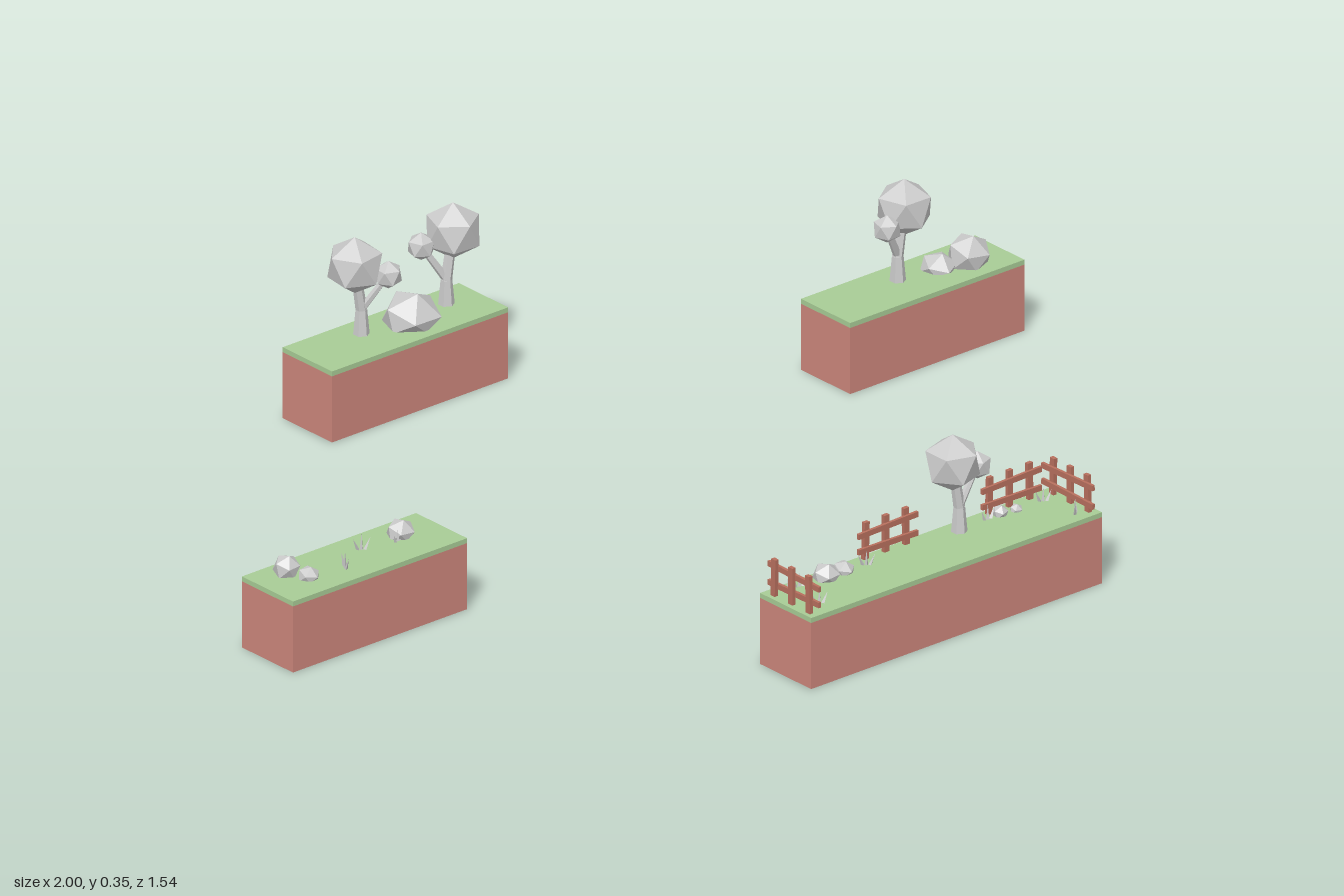
import * as THREE from 'three';

const GROUND = 0.145, TURF = 0.01;
const mat = (color, opts = {}) => new THREE.MeshStandardMaterial({ color, flatShading: true, ...opts });
const grey = mat(0xcccccc);
const bladeGrey = mat(0xcccccc, { side: THREE.DoubleSide });
const soil = mat(0xcd877c, { side: THREE.DoubleSide });
const turf = mat(0xa8cc96);
const wood = mat(0xb8705e);

function add(parent, name, geometry, material, x = 0, y = 0, z = 0) {
  const mesh = new THREE.Mesh(geometry, material);
  mesh.name = name;
  mesh.position.set(x, y, z);
  parent.add(mesh);
  return mesh;
}

function group(parent, name) {
  const g = new THREE.Group();
  g.name = name;
  parent.add(g);
  return g;
}

// Icosahedron standing on one vertex, turned about y
const ball = (r, turn = 0) =>
  new THREE.IcosahedronGeometry(r, 0).rotateZ(-Math.atan(2 / (1 + Math.sqrt(5)))).rotateY(turn);

// Tapered limb between two points
function limb(parent, name, a, b, r0, r1) {
  const dir = b.clone().sub(a);
  const m = add(parent, name, new THREE.CylinderGeometry(r1, r0, dir.length(), 6), grey);
  m.position.copy(a).addScaledVector(dir, 0.5);
  m.quaternion.setFromUnitVectors(new THREE.Vector3(0, 1, 0), dir.normalize());
}

// Planter shell: open at the back and underneath, with a turf slab on top
function planter(parent, x0, x1, z0, z1) {
  const g = group(parent, 'planter');
  const w = x1 - x0, d = z1 - z0, h = GROUND - TURF, cx = (x0 + x1) / 2, cz = (z0 + z1) / 2;
  add(g, 'frontWall', new THREE.PlaneGeometry(w, h), soil, cx, h / 2, z1);
  for (const [name, x, s] of [['rightWall', x0, -1], ['leftWall', x1, 1]])
    add(g, name, new THREE.PlaneGeometry(d, h).rotateY(s * Math.PI / 2), soil, x, h / 2, cz);
  add(g, 'turf', new THREE.BoxGeometry(w, TURF, d), turf, cx, GROUND - TURF / 2, cz);
  return g;
}

// Tree with a large crown and a smaller one on a side branch
function tree(parent, x, z, sideX, sideZ, turn) {
  const g = group(parent, 'tree');
  const lean = Math.sign(sideX - x) * 0.016;
  const base = new THREE.Vector3(x + lean, GROUND - 0.004, z);
  const fork = new THREE.Vector3(x + lean, 0.195, z);
  const top = new THREE.Vector3(x, 0.29, z);
  const side = new THREE.Vector3(sideX, 0.267, sideZ);
  limb(g, 'trunk', base, fork, 0.016, 0.011);
  limb(g, 'upperTrunk', fork, top, 0.011, 0.009);
  limb(g, 'branch', fork, side, 0.008, 0.006);
  add(g, 'crown', ball(0.057, turn), grey, x, 0.29, z);
  add(g, 'smallCrown', ball(0.028, turn + 0.7), grey, sideX, 0.267, sideZ);
}

// Boulder flattened where it meets the ground
function rock(parent, x, z, r, h, turn = 0) {
  const geo = ball(r, turn).rotateX(0.3);
  const p = geo.attributes.position;
  for (let i = 0; i < p.count; i++) p.setY(i, Math.max(p.getY(i) + h - r, -0.004));
  geo.computeVertexNormals();
  add(parent, 'rock', geo, grey, x, GROUND, z);
}

// Tuft of three flat blades fanning out along one direction
function tuft(parent, x, z, turn, h = 0.035) {
  const g = group(parent, 'grassTuft');
  g.position.set(x, GROUND, z);
  g.rotation.y = turn;
  [-1, 0, 1].forEach((s, i) => {
    const blade = new THREE.ConeGeometry(0.004, h * (1 - 0.2 * Math.abs(s)), 3);
    blade.translate(0, h * (1 - 0.2 * Math.abs(s)) / 2, 0).rotateZ(-s * 0.4);
    add(g, 'blade', blade, bladeGrey, s * 0.006, -0.002, (i - 1) * 0.002);
  });
}

// Fence panel: three posts and two slightly tilted rails
function fence(parent, x, z, turn) {
  const g = group(parent, 'fence');
  g.position.set(x, GROUND, z);
  g.rotation.y = turn;
  for (const i of [-1, 0, 1])
    add(g, 'post', new THREE.BoxGeometry(0.012, 0.077, 0.008), wood, i * 0.049, 0.0365, 0).rotation.z = i * 0.03;
  [0.02, 0.055].forEach((y, i) => {
    add(g, 'rail', new THREE.BoxGeometry(0.145, 0.011, 0.006), wood, 0, y, 0.006).rotation.z = i ? 0.025 : -0.02;
  });
}

export function createModel() {
  const model = new THREE.Group();
  model.name = 'gardenPlanters';

  // Right planter: small stones and grass
  const a = planter(model, -1, -0.575, -0.055, 0.09);
  rock(a, -0.93, -0.01, 0.027, 0.04, 0.4);
  rock(a, -0.91, 0.03, 0.022, 0.025, 1.1);
  rock(a, -0.66, 0, 0.029, 0.035, 0.2);
  tuft(a, -0.83, 0.04, 1.4);
  tuft(a, -0.755, 0, -0.3);
  tuft(a, -0.68, 0.015, 0.5, 0.025);

  // Left planter: tree and boulders
  const b = planter(model, 0.575, 1, -0.3, -0.16);
  tree(b, 0.78, -0.245, 0.725, -0.23, 0.3);
  rock(b, 0.855, -0.235, 0.037, 0.035, 0.8);
  rock(b, 0.912, -0.215, 0.044, 0.062, 0.1);

  // Back planter: two trees with a boulder between
  const c = planter(model, -0.29, 0.14, -0.765, -0.625);
  tree(c, -0.157, -0.715, -0.105, -0.68, 0.5);
  tree(c, 0.08, -0.712, 0.022, -0.735, 0.9);
  rock(c, -0.04, -0.69, 0.06, 0.068, 0.3);

  // Front planter: fences, tree, stones and grass
  const d = planter(model, -0.32, 0.39, 0.625, 0.77);
  tree(d, 0.12, 0.66, 0.18, 0.66, 0);
  rock(d, -0.185, 0.655, 0.028, 0.032, 0.4);
  rock(d, -0.142, 0.655, 0.022, 0.024, 1);
  rock(d, 0.24, 0.655, 0.016, 0.02, 0.6);
  rock(d, 0.275, 0.66, 0.013, 0.014, 0.1);
  for (const [x, z, t] of [[-0.275, 0.652, 0.5], [-0.245, 0.65, 0], [-0.09, 0.66, -0.4],
    [-0.265, 0.73, -0.2], [0.21, 0.655, 0.2], [0.34, 0.662, -0.2], [0.35, 0.74, 1]]) tuft(d, x, z, t, 0.032);
  fence(d, -0.025, 0.638, 0);
  fence(d, 0.277, 0.638, 0);
  fence(d, -0.307, 0.7, Math.PI / 2);
  fence(d, 0.373, 0.7, -Math.PI / 2);

  return model;
}
